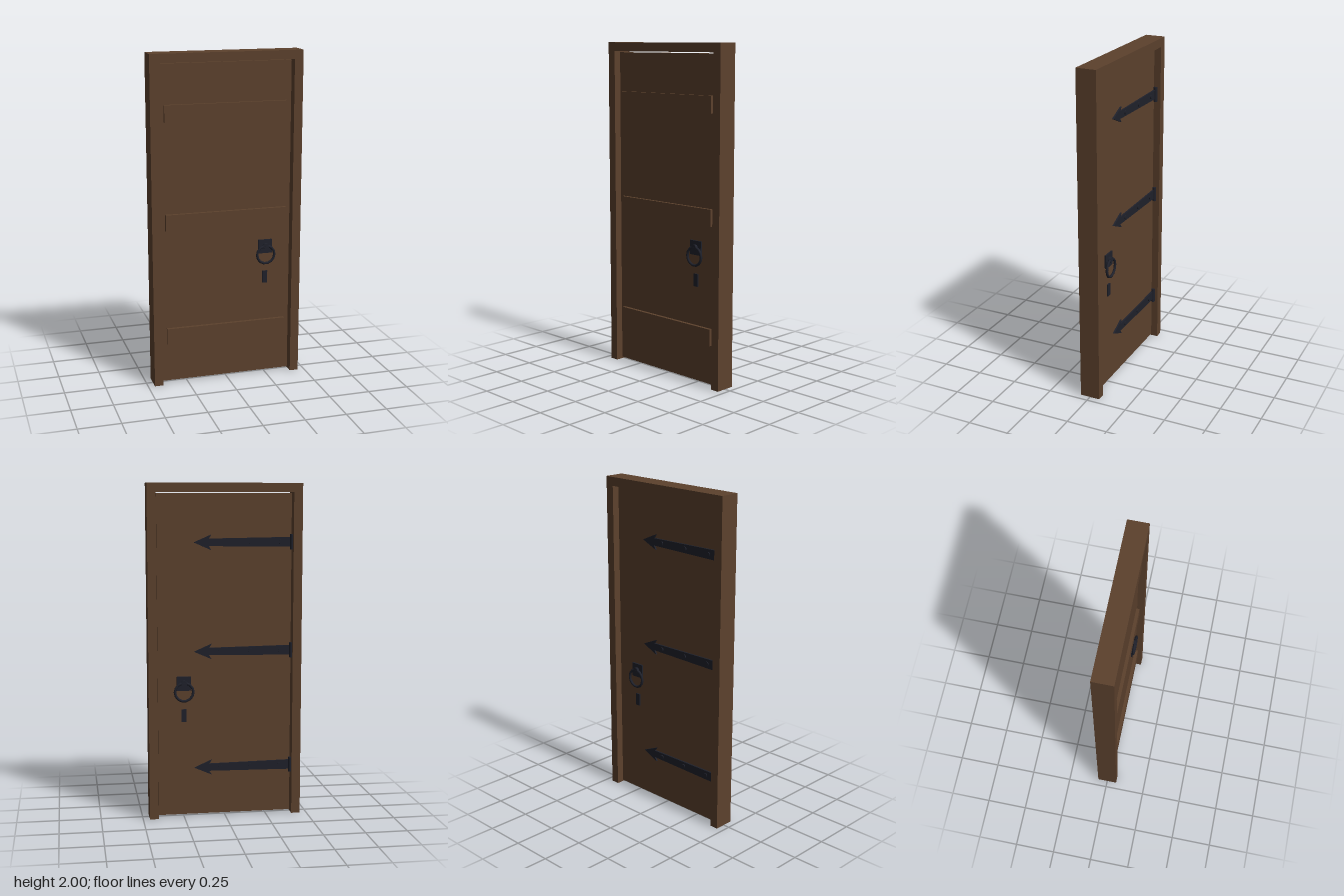
import * as THREE from 'three';

export function createModel() {
  const wood = new THREE.MeshStandardMaterial({ color: 0x5c412d });
  wood.name = 'wood';
  const iron = new THREE.MeshStandardMaterial({ color: 0x1f212b });
  iron.name = 'iron';
  const door = new THREE.Group();
  door.name = 'door';

  const add = (parent, name, geo, mat, x = 0, y = 0, z = 0) => {
    const mesh = new THREE.Mesh(geo, mat);
    mesh.name = name;
    mesh.position.set(x, y, z);
    parent.add(mesh);
    return mesh;
  };
  const box = (w, h, d) => new THREE.BoxGeometry(w, h, d);
  const extrude = (points, depth) => new THREE.ExtrudeGeometry(
    new THREE.Shape(points.map(([x, y]) => new THREE.Vector2(x, y))),
    { depth, bevelEnabled: false });

  const half = 0.02; // half the leaf thickness

  // Frame: two posts and a lintel in one piece
  add(door, 'frame', extrude([
    [-0.46, 0], [-0.407, 0], [-0.407, 1.947], [0.407, 1.947],
    [0.407, 0], [0.46, 0], [0.46, 2], [-0.46, 2],
  ], 0.122), wood, 0, 0, -0.061);

  // Door leaf
  add(door, 'leaf', box(0.804, 1.928, half * 2), wood, 0, 0.976, 0);

  // Battens on the front, strap hinges on the back
  for (const y of [0.3, 1.008, 1.655]) {
    add(door, 'batten', box(0.745, 0.1, 0.02), wood, 0, y, half + 0.01);

    const hinge = new THREE.Group();
    hinge.name = 'hinge';
    hinge.position.set(0, y, -half);
    door.add(hinge);
    // Strap ending in a barbed arrowhead
    add(hinge, 'strap', extrude([
      [-0.4, -0.029], [0.095, -0.022], [0.08, -0.046], [0.185, 0],
      [0.08, 0.046], [0.095, 0.022], [-0.4, 0.029],
    ], 0.01), iron, 0, 0, -0.01);
    add(hinge, 'hingeBarrel', new THREE.CylinderGeometry(0.012, 0.012, 0.09, 12), iron, -0.403, 0, -0.01);
    for (const x of [-0.335, -0.155, 0.03]) {
      const bolt = add(hinge, 'bolt', new THREE.CylinderGeometry(0.013, 0.013, 0.008, 10), iron, x, 0, -0.012);
      bolt.rotation.x = Math.PI / 2;
    }
  }

  // Ring handle and keyhole cover on both faces
  for (const side of [1, -1]) {
    const handle = new THREE.Group();
    handle.name = side > 0 ? 'frontHandle' : 'backHandle';
    handle.position.set(0.247, 0, side * half);
    if (side < 0) handle.rotation.y = Math.PI;
    door.add(handle);
    add(handle, 'handlePlate', box(0.085, 0.085, 0.01), iron, 0, 0.817, 0.005);
    const hub = add(handle, 'hub', new THREE.CylinderGeometry(0.018, 0.018, 0.022, 10), iron, 0, 0.82, 0.016);
    hub.rotation.x = Math.PI / 2;
    add(handle, 'ring', new THREE.TorusGeometry(0.055, 0.008, 8, 14), iron, 0, 0.768, 0.02);
    add(handle, 'keyholeCover', box(0.03, 0.076, 0.008), iron, 0, 0.623, 0.004);
  }

  return door;
}
